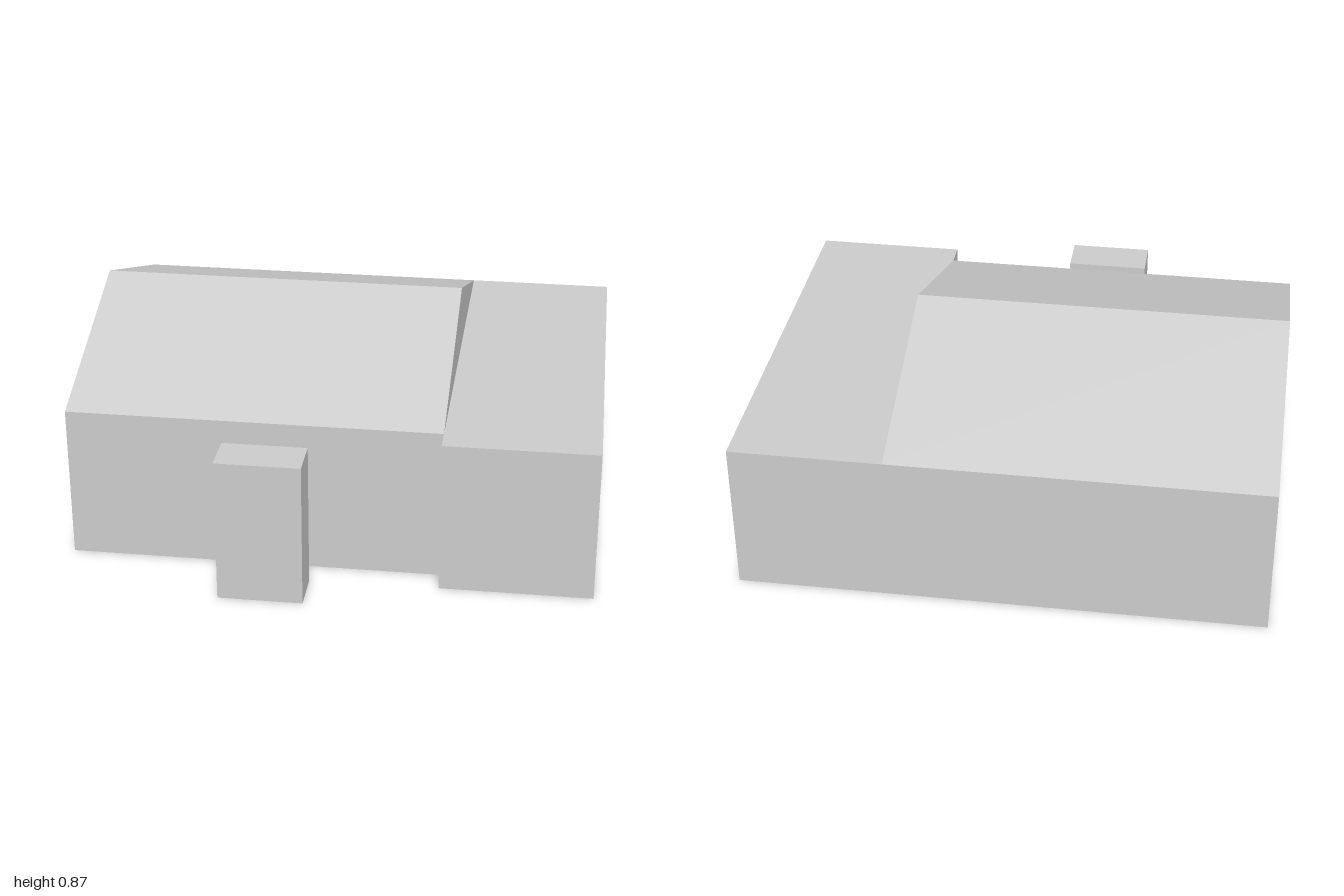
import * as THREE from 'three';

const grey = new THREE.MeshStandardMaterial({ color: 0xcccccc, side: THREE.DoubleSide });
grey.name = 'plain grey';

// Flat convex panel; corners run counter-clockwise seen from outside
function panel(name, corners) {
  const geometry = new THREE.BufferGeometry();
  geometry.setAttribute('position', new THREE.Float32BufferAttribute(corners.flat(), 3));
  const index = [];
  for (let i = 1; i < corners.length - 1; i++) index.push(0, i, i + 1);
  geometry.setIndex(index);
  geometry.computeVertexNormals();
  const mesh = new THREE.Mesh(geometry, grey);
  mesh.name = name;
  return mesh;
}

// Upright wall from (x0, z0) to (x1, z1), left to right seen from outside
const wall = (name, x0, z0, x1, z1, h) =>
  panel(name, [[x0, 0, z0], [x1, 0, z1], [x1, h, z1], [x0, h, z0]]);

// Level rectangle facing up
const flatRoof = (name, x0, x1, z0, z1, y) =>
  panel(name, [[x0, y, z1], [x1, y, z1], [x1, y, z0], [x0, y, z0]]);

export function createModel() {
  const model = new THREE.Group();
  model.name = 'house';

  const left = -1, mid = 0.423, right = 1;
  const back = -0.885, front = 0.615, wingFront = 0.712;
  const eave = 0.598, ridge = 0.868, ridgeZ = -0.135;

  // Outer walls, open underneath and between the hall and the wing
  const walls = new THREE.Group();
  walls.name = 'walls';
  walls.add(
    wall('hallFrontWall', left, front, mid, front, eave),
    wall('wingReturnWall', mid, front, mid, wingFront, eave),
    wall('wingFrontWall', mid, wingFront, right, wingFront, eave),
    wall('wingSideWall', right, wingFront, right, back, eave),
    wall('backWall', right, back, left, back, eave),
    panel('hallGableWall', [
      [left, 0, back], [left, 0, front], [left, eave, front], [left, ridge, ridgeZ], [left, eave, back],
    ]),
  );

  // Pitched roof over the hall, flat roof over the wing
  const roof = new THREE.Group();
  roof.name = 'roof';
  roof.add(
    panel('frontSlope', [[left, eave, front], [mid, eave, front], [mid, ridge, ridgeZ], [left, ridge, ridgeZ]]),
    panel('backSlope', [[mid, eave, back], [left, eave, back], [left, ridge, ridgeZ], [mid, ridge, ridgeZ]]),
    panel('innerGable', [[mid, eave, front], [mid, eave, back], [mid, ridge, ridgeZ]]),
    flatRoof('wingRoof', mid, right, back, wingFront, eave),
  );

  // Free-standing block in front, also open underneath
  const block = new THREE.Group();
  block.name = 'frontBlock';
  const bl = -0.385, br = -0.065, bb = 0.722, bf = 0.885, bh = 0.562;
  const ring = [[bl, bf], [br, bf], [br, bb], [bl, bb]];
  ring.forEach((p, i) => block.add(wall('blockSide', ...p, ...ring[(i + 1) % 4], bh)));
  block.add(flatRoof('blockTop', bl, br, bb, bf, bh));

  model.add(walls, roof, block);
  return model;
}
